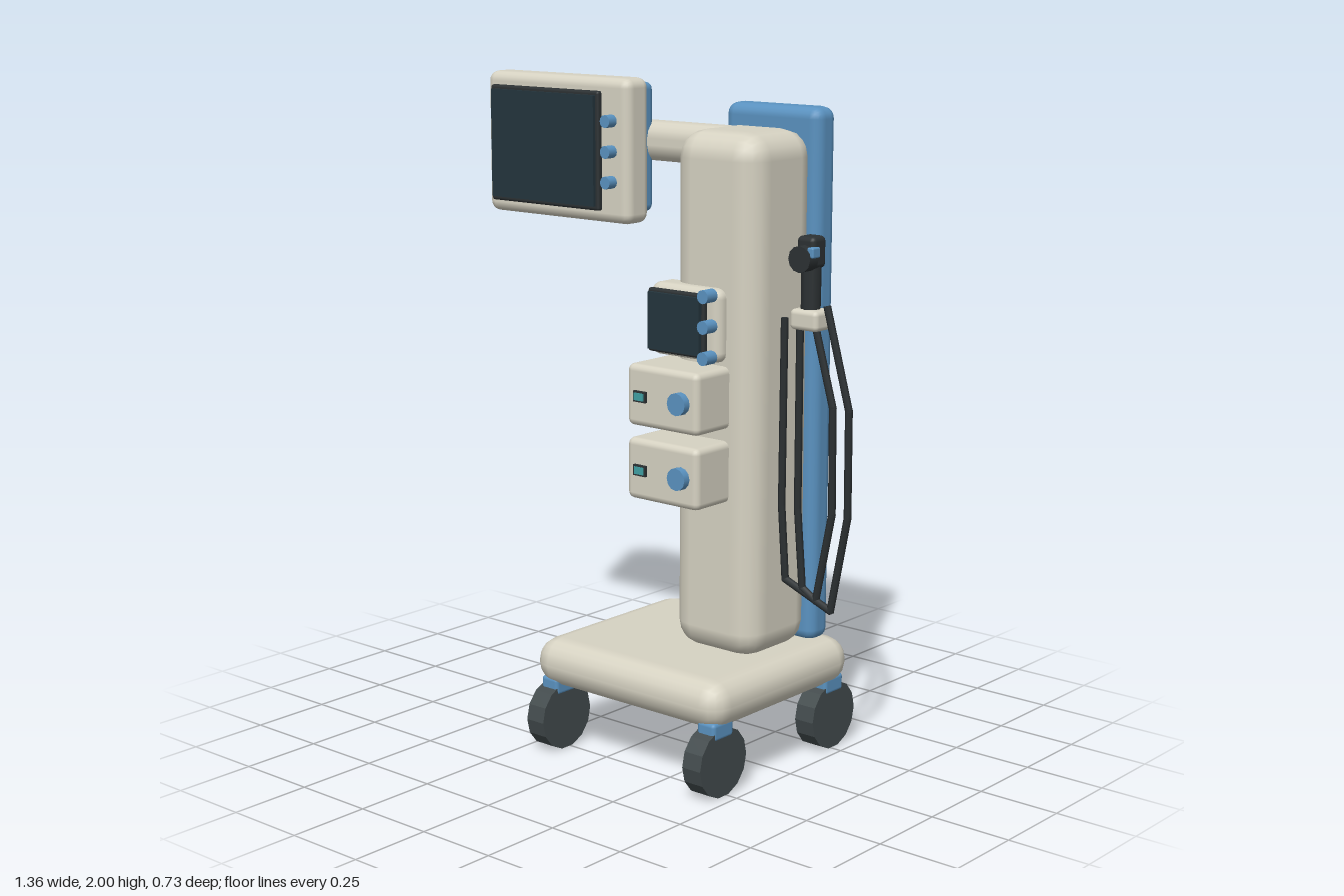
import * as THREE from 'three';
import { RoundedBoxGeometry } from 'three/addons/geometries/RoundedBoxGeometry.js';

const mat = (color, flatShading = false) => new THREE.MeshStandardMaterial({ color, flatShading });

export function createModel() {
  const model = new THREE.Group();
  model.name = 'medicalCart';
  const beige = mat(0xd6d2c2), blue = mat(0x5a92c0), teal = mat(0x3fa0a4);
  const dark = mat(0x2c3133), screenGlass = mat(0x24353d), rubber = mat(0x434b4d, true);

  const add = (name, geometry, material, parent = model) => {
    const mesh = new THREE.Mesh(geometry, material);
    mesh.name = name;
    parent.add(mesh);
    return mesh;
  };
  // Box given by its limits on each axis; r rounds the edges
  const box = (name, [x0, x1], [y0, y1], [z0, z1], r, material, parent) => {
    const size = [x1 - x0, y1 - y0, z1 - z0];
    const geometry = r ? new RoundedBoxGeometry(...size, 2, r) : new THREE.BoxGeometry(...size);
    const mesh = add(name, geometry, material, parent);
    mesh.position.set((x0 + x1) / 2, (y0 + y1) / 2, (z0 + z1) / 2);
    return mesh;
  };
  // Cylinder pointing forward
  const knob = (name, x, y, z0, z1, r, material, parent) => {
    const mesh = add(name, new THREE.CylinderGeometry(r, r, z1 - z0, 12), material, parent);
    mesh.rotation.x = Math.PI / 2;
    mesh.position.set(x, y, (z0 + z1) / 2);
  };
  const group = (name) => {
    const g = new THREE.Group();
    g.name = name;
    model.add(g);
    return g;
  };

  // Base, column and back panel
  box('base', [-0.24, 0.485], [0.2, 0.345], [-0.33, 0.325], 0.07, beige);
  box('column', [0.09, 0.4], [0.33, 1.87], [-0.23, 0.07], 0.08, beige);
  box('backPanel', [0.07, 0.42], [0.335, 1.93], [-0.295, -0.2], 0.035, blue);
  box('backPanelInlay', [0.155, 0.335], [0.42, 1.8], [-0.297, -0.28], 0, beige);

  // Four casters
  for (const x of [-0.182, 0.428]) for (const z of [-0.263, 0.263]) {
    const caster = group('caster');
    caster.position.set(x, 0.104, z);
    const wheel = add('wheel', new THREE.CylinderGeometry(0.104, 0.104, 0.066, 14), rubber, caster);
    const hub = add('wheelHub', new THREE.CylinderGeometry(0.075, 0.075, 0.01, 14), beige, caster);
    wheel.rotation.z = hub.rotation.z = Math.PI / 2;
    hub.position.x = -0.031;
    box('casterMount', [-0.03, 0.035], [0.07, 0.125], [-0.045, 0.045], 0.012, blue, caster);
  }

  // Arm and main monitor
  box('monitorArm', [-0.49, 0.21], [1.75, 1.87], [-0.18, -0.07], 0.05, beige);
  const monitor = group('mainMonitor');
  box('monitorBack', [-0.645, -0.115], [1.6, 1.985], [-0.105, -0.05], 0.022, blue, monitor);
  box('monitorHousing', [-0.68, -0.1], [1.57, 2], [-0.07, 0.033], 0.03, beige, monitor);
  box('monitorBezel', [-0.648, -0.203], [1.607, 1.96], [0.025, 0.048], 0.008, dark, monitor);
  box('monitorScreen', [-0.636, -0.215], [1.62, 1.948], [0.04, 0.058], 0, screenGlass, monitor);
  for (const y of [1.695, 1.785, 1.875]) knob('monitorKnob', -0.162, y, 0.03, 0.066, 0.019, blue, monitor);

  // Small monitor on the column
  const small = group('smallMonitor');
  box('smallMonitorBack', [0.05, 0.3], [1.235, 1.41], [-0.035, 0.04], 0.025, blue, small);
  box('smallMonitorHousing', [0.04, 0.305], [1.215, 1.43], [0, 0.104], 0.03, beige, small);
  box('smallMonitorBezel', [0.05, 0.262], [1.228, 1.415], [0.098, 0.118], 0.008, dark, small);
  box('smallMonitorScreen', [0.06, 0.252], [1.238, 1.405], [0.11, 0.13], 0, screenGlass, small);
  for (const y of [1.235, 1.325, 1.413]) knob('smallMonitorKnob', 0.277, y, 0.1, 0.144, 0.02, blue, small);

  // Two control modules
  for (const y of [0.897, 1.115]) {
    const unit = group('controlModule');
    box('moduleBody', [0.05, 0.317], [y - 0.091, y + 0.091], [0, 0.213], 0.02, beige, unit);
    knob('moduleKnob', 0.257, y, 0.2, 0.236, 0.033, blue, unit);
    box('moduleButtonFrame', [0.084, 0.13], [y - 0.016, y + 0.016], [0.2, 0.222], 0, dark, unit);
    box('moduleButton', [0.09, 0.124], [y - 0.011, y + 0.011], [0.2, 0.225], 0, teal, unit);
  }

  // Hand piece in its holder
  const tool = group('handPiece');
  box('toolHolder', [0.475, 0.573], [1.325, 1.385], [-0.08, 0.003], 0.015, beige, tool);
  const grip = add('toolGrip', new THREE.CylinderGeometry(0.03, 0.028, 0.2, 8), dark, tool);
  grip.position.set(0.523, 1.46, -0.037);
  box('toolHead', [0.491, 0.555], [1.5, 1.592], [-0.068, -0.006], 0.015, dark, tool);
  knob('toolNozzle', 0.523, 1.53, -0.02, 0.02, 0.038, dark, tool);
  box('toolTrigger', [0.545, 0.568], [1.535, 1.565], [-0.02, 0.015], 0.005, blue, tool);

  // Hanging cables made of straight lengths
  const cables = [
    [[0.433, 1.345], [0.43, 0.8], [0.446, 0.58], [0.61, 0.515], [0.665, 0.8], [0.663, 1.11], [0.583, 1.395]],
    [[0.488, 1.345], [0.488, 0.8], [0.508, 0.565], [0.557, 0.535], [0.61, 0.8], [0.607, 1.11], [0.54, 1.345]],
  ];
  for (const path of cables) {
    const cable = group('cable');
    for (let i = 1; i < path.length; i++) {
      const a = new THREE.Vector3(...path[i - 1], -0.035), b = new THREE.Vector3(...path[i], -0.035);
      const along = b.clone().sub(a), length = along.length();
      const part = add('cableLength', new THREE.CylinderGeometry(0.011, 0.011, length + 0.008, 6), dark, cable);
      part.position.copy(a).add(b).multiplyScalar(0.5);
      part.quaternion.setFromUnitVectors(new THREE.Vector3(0, 1, 0), along.normalize());
    }
  }
  return model;
}
